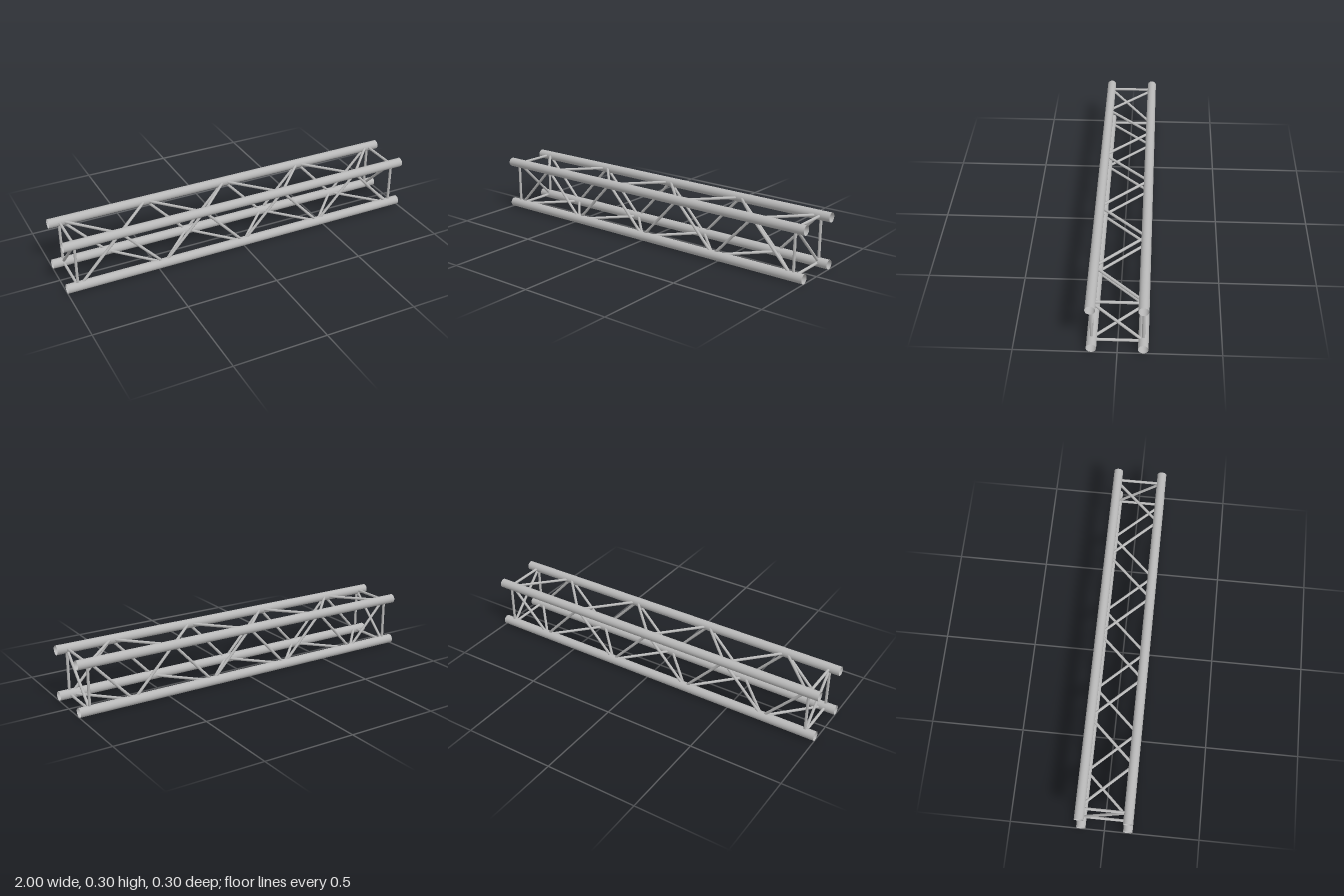
import * as THREE from 'three';

const HALF = 0.124;       // chord axis offset from the truss axis
const MID = 0.149;        // height of the truss axis
const CHORD_R = 0.025;
const BRACE_R = 0.0075;
const PANELS = 8;
const NODE_X = 0.93;      // first and last zigzag nodes
const END_X = 0.941;      // end frames

export function createModel() {
  const group = new THREE.Group();
  const aluminium = new THREE.MeshStandardMaterial({ color: 0xb8b8b8, side: THREE.DoubleSide });
  aluminium.name = 'aluminium';

  // Round tube between two points
  function tube(name, a, b, radius, sides, open) {
    const dir = b.clone().sub(a);
    const mesh = new THREE.Mesh(
      new THREE.CylinderGeometry(radius, radius, dir.length(), sides, 1, open), aluminium);
    mesh.name = name;
    mesh.position.copy(a).add(b).multiplyScalar(0.5);
    mesh.quaternion.setFromUnitVectors(new THREE.Vector3(0, 1, 0), dir.normalize());
    group.add(mesh);
  }

  // Corner chords in order round the section: [y sign, z sign]
  const corners = [[1, 1], [1, -1], [-1, -1], [-1, 1]];
  const at = (i, x) => {
    const [y, z] = corners[i % 4];
    return new THREE.Vector3(x, MID + y * HALF, z * HALF);
  };

  // Main chords, hollow and open at the ends
  for (let i = 0; i < 4; i++) tube('chord', at(i, -1), at(i, 1), CHORD_R, 24, true);

  // Zigzag lacing on the four sides: odd corners take the even nodes
  const nodeX = k => -NODE_X + (2 * NODE_X * k) / PANELS;
  for (let i = 0; i < 4; i++) {
    const corner = k => (k + i) % 2 ? i : i + 1;
    for (let k = 0; k < PANELS; k++) {
      const c0 = i % 2 === 0 ? (k % 2 ? i : i + 1) : (k % 2 ? i + 1 : i);
      const c1 = c0 === i ? i + 1 : i;
      tube('lacing', at(c0, nodeX(k)), at(c1, nodeX(k + 1)), BRACE_R, 12, false);
    }
  }

  // Square end frames, each with one diagonal
  for (const x of [-END_X, END_X]) {
    for (let i = 0; i < 4; i++) tube('endFrame', at(i, x), at(i + 1, x), BRACE_R, 12, false);
    tube('endDiagonal', at(0, x), at(2, x), BRACE_R, 12, false);
  }

  return group;
}
